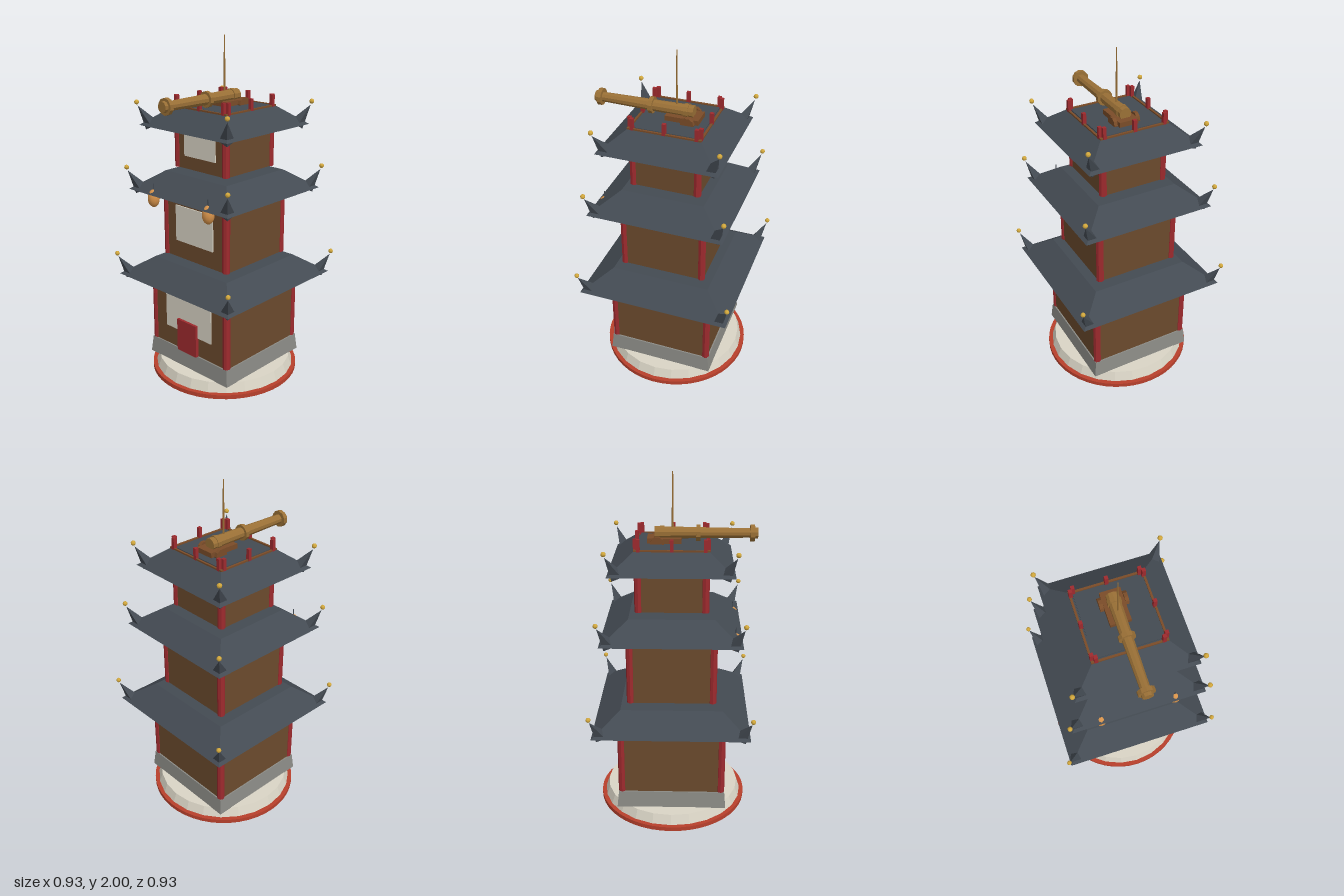
import * as THREE from 'three';

const mat = (name, color, flatShading = true) => {
  const m = new THREE.MeshStandardMaterial({ color, flatShading });
  m.name = name;
  return m;
};

export function createModel() {
  const slate = mat('slate', 0x434a52), timber = mat('timber', 0x6b4a2d);
  const ivory = mat('ivory', 0xd9d4c5), red = mat('lacquerRed', 0x9e2a2e);
  const vermilion = mat('vermilion', 0xb8402c), stone = mat('stone', 0x8a8a85);
  const gold = mat('gold', 0xd0a63c), amber = mat('amber', 0xd6924a, false);
  const bronze = mat('bronze', 0x9a7036), oak = mat('oak', 0x7a4c28);

  const model = new THREE.Group();
  const add = (name, geo, material, x = 0, y = 0, z = 0, parent = model) => {
    const m = new THREE.Mesh(geo, material);
    m.name = name;
    m.position.set(x, y, z);
    parent.add(m);
    return m;
  };
  const box = (w, h, d) => new THREE.BoxGeometry(w, h, d);
  const cyl = (top, bottom, h, n) => new THREE.CylinderGeometry(top, bottom, h, n);
  // Square frustum given by its half widths
  const frustum = (top, bottom, h) =>
    cyl(top * Math.SQRT2, bottom * Math.SQRT2, h, 4).rotateY(Math.PI / 4);

  // Round plinth and square stone footing
  add('plinthRim', cyl(0.443, 0.443, 0.025, 48), vermilion, 0, 0.0125);
  add('plinth', cyl(0.40, 0.42, 0.057, 24), ivory, 0, 0.0535);
  add('footing', frustum(0.31, 0.32, 0.1), stone, 0, 0.13);

  // Storeys: wall half width, wall bottom, eave height, eave and ridge half widths, window
  const storeys = [
    { half: 0.302, y0: 0.18, y1: 0.6, eave: 0.444, ridge: 0.29, top: 0.71, win: [0.185, 0.3, 0.52] },
    { half: 0.246, y0: 0.735, y1: 1.13, eave: 0.39, ridge: 0.238, top: 1.24, win: [0.147, 0.84, 1.055] },
    { half: 0.196, y0: 1.265, y1: 1.505, eave: 0.34, ridge: 0.205, top: 1.61, win: [0.12, 1.34, 1.47] },
  ];
  for (const s of storeys) {
    const storey = new THREE.Group();
    storey.name = 'storey';
    model.add(storey);
    const h = s.y1 - s.y0, midY = (s.y0 + s.y1) / 2;
    add('walls', box(s.half * 2, h, s.half * 2), timber, 0, midY, 0, storey);
    add('roof', frustum(s.ridge, s.eave, s.top - s.y1), slate, 0, (s.y1 + s.top) / 2, 0, storey);
    const [w, b, t] = s.win;
    add('window', box(w * 2, t - b, 0.008), ivory, 0, (b + t) / 2, s.half + 0.003, storey);

    for (let k = 0; k < 4; k++) {
      // Each corner faces outward along its own +z
      const corner = new THREE.Group();
      corner.name = 'corner';
      corner.rotation.y = Math.PI / 4 + k * Math.PI / 2;
      storey.add(corner);
      add('column', cyl(0.022, 0.022, h, 8), red, 0, midY, (s.half - 0.012) * Math.SQRT2, corner);
      // Upturned horn: base centre to tip, leaning outward
      const horn = add('roofHorn', new THREE.ConeGeometry(0.042, 0.138, 4), slate,
        0, s.y1 + 0.054, (s.eave - 0.024) * Math.SQRT2, corner);
      horn.rotation.x = 0.6;
      add('hornBall', new THREE.IcosahedronGeometry(0.014, 1), gold,
        0, s.y1 + 0.13, (s.eave + 0.007) * Math.SQRT2, corner);
    }
  }

  add('door', box(0.155, 0.2, 0.025), red, 0, 0.28, 0.312);

  // Hanging lanterns under the middle roof
  for (const side of [-1, 1]) {
    add('lantern', new THREE.SphereGeometry(0.035, 12, 10).scale(1, 1.5, 1), amber, side * 0.217, 1.103, 0.355);
    add('lanternCord', cyl(0.003, 0.003, 0.05, 6), slate, side * 0.217, 1.165, 0.355);
  }

  // Gun deck with rails and posts
  add('deck', box(0.37, 0.008, 0.37), slate, 0, 1.612, 0);
  for (let k = 0; k < 4; k++) {
    const side = new THREE.Group();
    side.name = 'railing';
    side.rotation.y = k * Math.PI / 2;
    model.add(side);
    add('rail', box(0.41, 0.012, 0.012), oak, 0, 1.612, 0.2, side);
    for (const x of [-0.18, 0, 0.18])
      add('railPost', box(0.02, 0.07, 0.02), red, x, 1.64, 0.197, side);
  }

  // Cannon pointing to the front
  const cannon = new THREE.Group();
  cannon.name = 'cannon';
  model.add(cannon);
  add('carriage', box(0.114, 0.03, 0.19), oak, 0, 1.629, -0.045, cannon);
  for (const side of [-1, 1])
    add('wheel', cyl(0.038, 0.038, 0.02, 10).rotateZ(Math.PI / 2), oak, side * 0.068, 1.62, -0.083, cannon);
  const along = (name, front, back, z0, z1) =>
    add(name, cyl(front, back, z1 - z0, 10).rotateX(Math.PI / 2), bronze, 0, 1.665, (z0 + z1) / 2, cannon);
  along('barrel', 0.026, 0.035, -0.1, 0.465);
  along('breechRing', 0.039, 0.039, -0.07, -0.045);
  along('middleRing', 0.046, 0.046, 0.13, 0.153);
  along('muzzleRing', 0.047, 0.047, 0.428, 0.452);
  along('muzzleLip', 0.03, 0.032, 0.452, 0.47);

  // Spire
  add('spire', cyl(0.003, 0.007, 0.39, 8), bronze, 0, 1.805, 0);
  return model;
}
